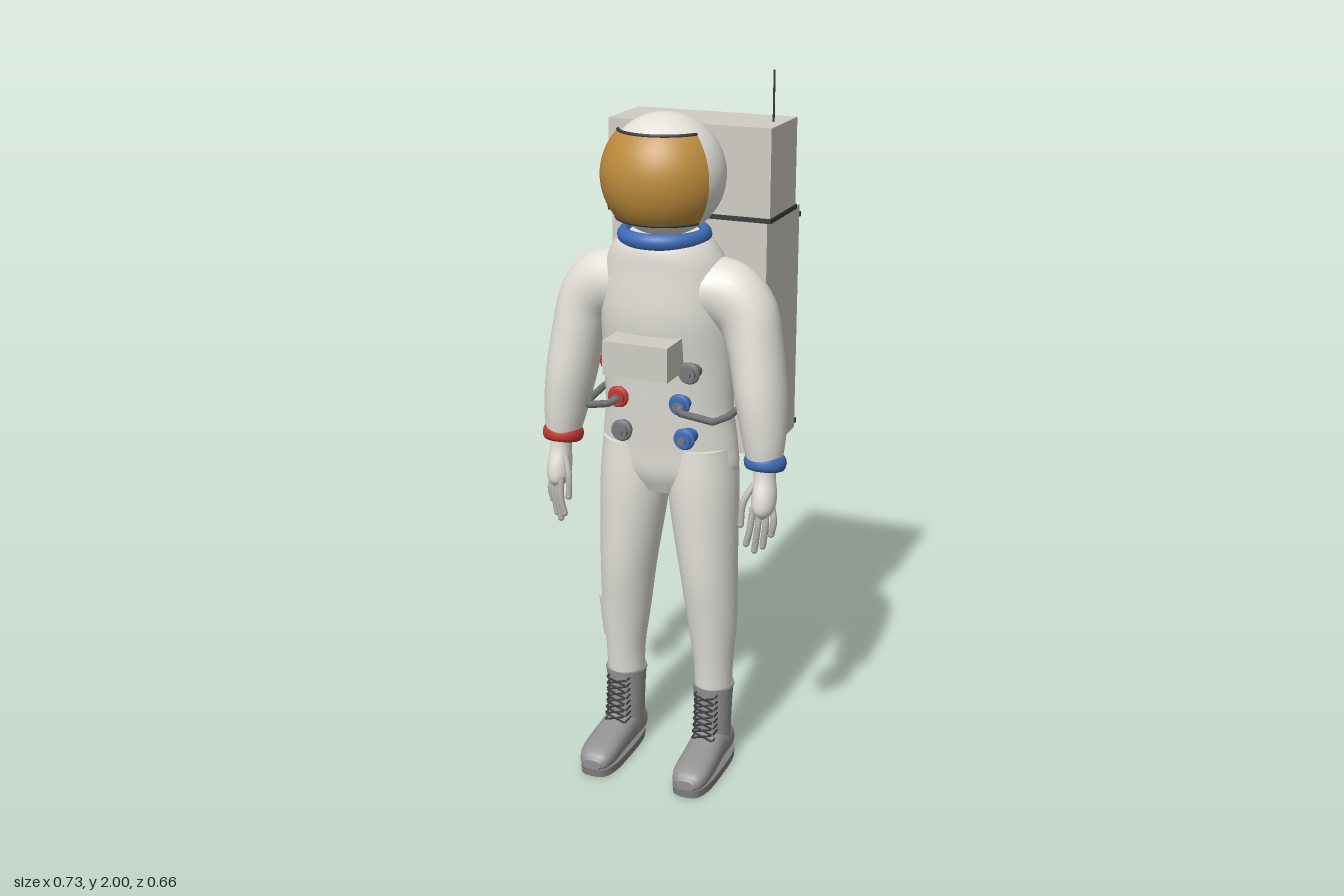
import * as THREE from 'three';

const V = (x, y, z) => new THREE.Vector3(x, y, z);
const mat = (name, color, side = THREE.FrontSide) => {
  const m = new THREE.MeshStandardMaterial({ color, side });
  m.name = name;
  return m;
};

// Smooth closed skin through rows of [x, y, z, radiusU, radiusV, tilt].
// Rings lie flat (tilted about z), or upright in the xy plane when forward is set.
function loft(rows, { n = 28, sub = 5, power = 1, forward = false } = {}) {
  const centres = new THREE.CatmullRomCurve3(rows.map(r => V(r[0], r[1], r[2])), false, 'catmullrom', 0.5);
  const radii = new THREE.CatmullRomCurve3(rows.map(r => V(r[3], r[4], r[5] || 0)), false, 'catmullrom', 0.5);
  const steps = (rows.length - 1) * sub;
  const pos = [], idx = [];
  const soft = v => Math.sign(v) * Math.pow(Math.abs(v), power);
  for (let i = 0; i <= steps; i++) {
    const c = centres.getPoint(i / steps), r = radii.getPoint(i / steps);
    for (let j = 0; j < n; j++) {
      const a = (j / n) * Math.PI * 2;
      const u = r.x * soft(Math.cos(a)), v = r.y * soft(Math.sin(a));
      if (forward) pos.push(c.x + u, c.y + v, c.z);
      else pos.push(c.x + u * Math.cos(r.z), c.y + u * Math.sin(r.z), c.z + v);
    }
  }
  for (let i = 0; i < steps; i++) for (let j = 0; j < n; j++) {
    const a = i * n + j, b = i * n + (j + 1) % n;
    idx.push(a, b, a + n, b, b + n, a + n);
  }
  // end caps use their own ring so the rim stays crisp
  for (const [ring, flip] of [[0, true], [steps, false]]) {
    const start = pos.length / 3, c = ring ? centres.getPoint(1) : centres.getPoint(0);
    for (let j = 0; j < n; j++) pos.push(...pos.slice((ring * n + j) * 3, (ring * n + j) * 3 + 3));
    pos.push(c.x, c.y, c.z);
    for (let j = 0; j < n; j++) {
      const a = start + j, b = start + (j + 1) % n;
      idx.push(...(flip ? [b, a, start + n] : [a, b, start + n]));
    }
  }
  const g = new THREE.BufferGeometry();
  g.setAttribute('position', new THREE.Float32BufferAttribute(pos, 3));
  g.setIndex(idx);
  g.computeVertexNormals();
  return g;
}

const tube = (pts, r, sides = 8, tension = 0, seg = pts.length * 6) =>
  new THREE.TubeGeometry(new THREE.CatmullRomCurve3(pts, false, 'catmullrom', tension), seg, r, sides);
const box = (x0, x1, y0, y1, z0, z1) =>
  new THREE.BoxGeometry(x1 - x0, y1 - y0, z1 - z0).translate((x0 + x1) / 2, (y0 + y1) / 2, (z0 + z1) / 2);
const ring = (R, t, x, y, z, tall = 1) =>
  new THREE.TorusGeometry(R, t, 12, 36).rotateX(Math.PI / 2).scale(1, tall, 1).translate(x, y, z);

export function createModel() {
  const suit = mat('suit white', 0xe2e0d8, THREE.DoubleSide);
  const packMat = mat('pack grey', 0xcfcdc5);
  const gold = mat('visor gold', 0xbd8c3c, THREE.DoubleSide);
  const blue = mat('blue', 0x3f6cb8);
  const red = mat('red', 0xc23a30);
  const bootMat = mat('boot grey', 0x929292);
  const soleMat = mat('sole grey', 0x808080);
  const dark = mat('dark trim', 0x3c3d3f);
  const hoseMat = mat('hose grey', 0x77787a);
  const gloveMat = mat('glove grey', 0xb4b3af);

  const model = new THREE.Group();
  model.name = 'astronaut';
  const add = (name, geo, material, parent = model) => {
    const m = new THREE.Mesh(geo, material);
    m.name = name;
    parent.add(m);
    return m;
  };

  // Torso
  add('torso', loft([
    [0, 1.6, 0.115, 0.11, 0.105], [0, 1.56, 0.11, 0.145, 0.125], [0, 1.5, 0.1, 0.172, 0.138],
    [0, 1.38, 0.1, 0.188, 0.143], [0, 1.25, 0.09, 0.19, 0.135], [0, 1.1, 0.085, 0.188, 0.124],
    [0, 1.0, 0.08, 0.2, 0.118], [0, 0.92, 0.08, 0.198, 0.11], [0, 0.86, 0.08, 0.12, 0.085],
  ], { n: 40 }), suit);

  // Helmet, visor and collar
  const hy = 1.75, hz = 0.11, vr = 0.174, half = 1.117;
  add('helmet', new THREE.SphereGeometry(0.164, 48, 32).translate(0, hy, hz), suit);
  const top = Math.acos(0.12 / vr), bottom = Math.acos(-0.112 / vr);
  add('visor', new THREE.SphereGeometry(vr, 40, 24, Math.PI / 2 - half, half * 2, top, bottom - top)
    .translate(0, hy, hz), gold);
  for (const th of [top, bottom]) {
    add('visorRim', new THREE.TorusGeometry(vr * Math.sin(th) - 0.002, 0.005, 8, 40, half * 2)
      .rotateZ(Math.PI / 2 - half).rotateX(Math.PI / 2).translate(0, hy + vr * Math.cos(th), hz), dark);
  }
  add('collar', ring(0.11, 0.018, 0, 1.59, 0.115, 1.25), blue);

  // Backpack
  const pack = new THREE.Group();
  pack.name = 'backpack';
  model.add(pack);
  add('lowerPack', box(-0.232, 0.232, 0.925, 1.602, -0.32, -0.05), packMat, pack);
  add('upperPack', box(-0.24, 0.24, 1.614, 1.86, -0.26, -0.05), packMat, pack);
  add('packSeam', box(-0.244, 0.244, 1.602, 1.615, -0.264, -0.046), dark, pack);
  for (const y of [0.945, 1.573]) add('packStrap', box(-0.234, 0.234, y - 0.007, y + 0.007, -0.331, -0.319), dark, pack);
  add('antenna', new THREE.CylinderGeometry(0.003, 0.003, 0.14, 8).translate(0.207, 1.93, -0.157), dark, pack);

  // Chest unit and connectors
  add('chestUnit', box(-0.094, 0.094, 1.24, 1.335, 0.19, 0.32), packMat);
  const knobs = [
    [-0.118, 1.245, red], [-0.096, 1.147, red], [-0.087, 1.05, hoseMat],
    [0.114, 1.24, hoseMat], [0.086, 1.147, blue], [0.1, 1.05, blue],
  ];
  for (const [x, y, m] of knobs) {
    add('connector', new THREE.CylinderGeometry(0.022, 0.024, 0.06, 20).rotateX(Math.PI / 2).translate(x, y, 0.205), m);
    add('connectorRing', new THREE.TorusGeometry(0.023, 0.008, 10, 24).translate(x, y, 0.218), m);
    add('connectorPin', new THREE.CylinderGeometry(0.011, 0.011, 0.02, 12).rotateX(Math.PI / 2).translate(x, y, 0.233), hoseMat);
  }

  // Limbs: shaped for the left side, mirrored for the right
  for (const s of [1, -1]) {
    const side = s > 0 ? 'left' : 'right';
    const group = new THREE.Group();
    group.name = side + 'Side';
    model.add(group);
    const put = (name, geo, material) => {
      if (s < 0) {
        geo.scale(-1, 1, 1);
        geo.index.array.reverse();
      }
      add(side + name, geo, material, group);
    };

    // Arm and wrist band
    put('Arm', loft([
      [0.1, 1.45, 0.1, 0.09, 0.1, 1.5], [0.18, 1.435, 0.1, 0.095, 0.09, 1.1],
      [0.235, 1.385, 0.1, 0.086, 0.085, 0.6], [0.262, 1.3, 0.108, 0.075, 0.085, 0.25],
      [0.285, 1.17, 0.12, 0.07, 0.086, 0.15], [0.3, 1.06, 0.132, 0.06, 0.07, 0.13],
      [0.307, 0.98, 0.142, 0.046, 0.05, 0.12],
    ]), suit);
    put('WristBand', ring(0.045, 0.014, 0, 0, 0, 1.6).rotateX(-0.2).translate(0.307, 0.988, 0.14), s > 0 ? blue : red);

    // Glove
    put('Palm', loft([
      [0.307, 1.0, 0.143, 0.034, 0.036], [0.31, 0.95, 0.15, 0.03, 0.034], [0.312, 0.9, 0.157, 0.034, 0.043],
      [0.312, 0.86, 0.163, 0.031, 0.04], [0.312, 0.835, 0.167, 0.014, 0.02],
    ], { n: 20 }), suit);
    const digits = [[V(0.287, 0.93, 0.17), V(0.265, 0.88, 0.195), V(0.262, 0.82, 0.205)]];
    for (let i = 0; i < 4; i++) {
      const x = 0.292 + i * 0.013, z = 0.19 - i * 0.014;
      digits.push([V(x, 0.87, z), V(x - 0.004 + i * 0.005, 0.81 + i * 0.005, z + 0.012),
        V(x - 0.014 + i * 0.006, [0.765, 0.742, 0.752, 0.785][i], z + 0.012)]);
    }
    digits.forEach(p => {
      put('Finger', tube(p, 0.0095, 8, 0.5, 10), gloveMat);
      put('Fingertip', new THREE.SphereGeometry(0.0095, 10, 8).translate(p[2].x, p[2].y, p[2].z), gloveMat);
    });

    // Leg and knee pocket
    put('Leg', loft([
      [0.1, 1.0, 0.08, 0.095, 0.108], [0.104, 0.88, 0.084, 0.1, 0.112], [0.113, 0.75, 0.09, 0.092, 0.105],
      [0.126, 0.6, 0.093, 0.08, 0.096], [0.136, 0.45, 0.09, 0.07, 0.08], [0.14, 0.33, 0.09, 0.057, 0.066],
      [0.14, 0.24, 0.09, 0.054, 0.058],
    ]), suit);
    put('KneePocket', new THREE.CylinderGeometry(0.08, 0.068, 0.13, 16, 1, true, 0.05, 1.05)
      .scale(1, 1, 1.15).translate(0.135, 0.437, 0.092), suit);

    // Boot
    put('BootShaft', loft([
      [0.14, 0.255, 0.09, 0.06, 0.064], [0.14, 0.2, 0.09, 0.056, 0.061],
      [0.14, 0.12, 0.09, 0.052, 0.062], [0.141, 0.04, 0.09, 0.05, 0.064],
    ]), bootMat);
    put('BootCuff', ring(0.057, 0.005, 0.14, 0.25, 0.09), bootMat);
    put('Foot', loft([
      [0.142, 0.05, 0.02, 0.035, 0.035], [0.142, 0.058, 0.05, 0.05, 0.045], [0.143, 0.064, 0.13, 0.052, 0.052],
      [0.146, 0.056, 0.2, 0.054, 0.044], [0.147, 0.048, 0.27, 0.054, 0.036], [0.147, 0.042, 0.31, 0.044, 0.026],
      [0.147, 0.036, 0.325, 0.026, 0.014],
    ], { power: 0.8, forward: true }), bootMat);
    put('Sole', loft([
      [0.146, 0.024, 0.174, 0.058, 0.156], [0.146, 0, 0.174, 0.057, 0.154],
    ], { power: 0.6, sub: 1, n: 40 }), soleMat);

    // Crossed laces
    for (const d of [1, -1]) {
      const pts = [];
      for (let i = 0; i < 8; i++) pts.push(V(0.14 + d * (i % 2 ? 0.032 : -0.032), 0.105 + i * 0.019, 0.178 - i * 0.0025));
      put('Lace', tube(pts, 0.003, 5), dark);
    }
    for (let i = 0; i < 8; i++) for (const d of [1, -1]) {
      put('Eyelet', tube([V(0.14 + d * 0.032, 0.105 + i * 0.019, 0.13), V(0.14 + d * 0.032, 0.105 + i * 0.019, 0.178 - i * 0.0025)], 0.003, 5, 0, 1), dark);
    }

    // Hose from pack to chest connector
    put('Hose', tube([
      V(0.165, 1.1, -0.055), V(0.217, 1.11, -0.012), V(0.214, 1.115, 0.06), V(0.206, 1.112, 0.165),
      V(0.185, 1.112, 0.22), V(0.105, 1.14, 0.262), V(0.092, 1.147, 0.23),
    ], 0.01, 8, 0, 60), hoseMat);
  }
  return model;
}
